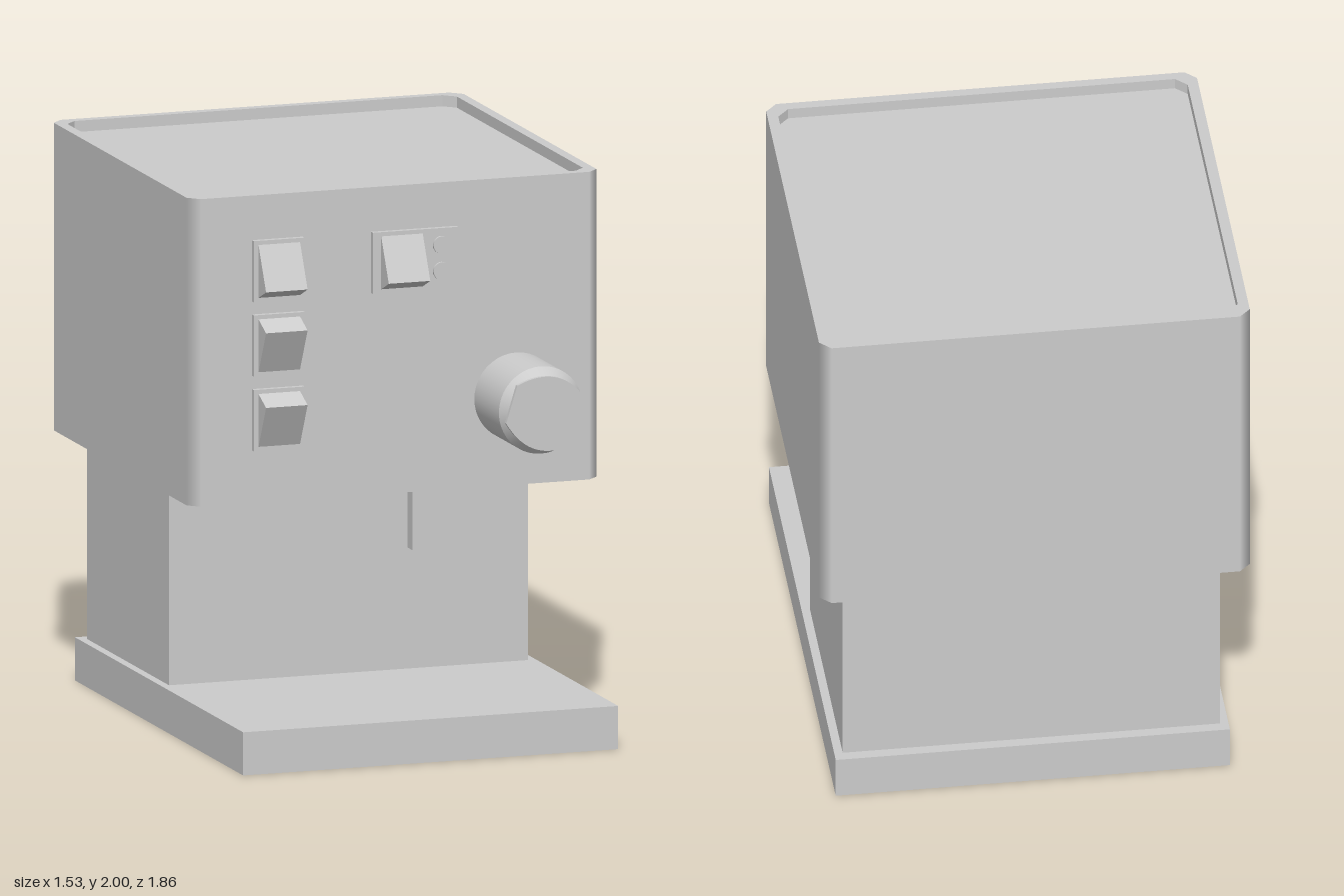
import * as THREE from 'three';

const material = new THREE.MeshStandardMaterial({ color: 0xcccccc });

function add(parent, name, geometry) {
  const mesh = new THREE.Mesh(geometry, material);
  mesh.name = name;
  parent.add(mesh);
  return mesh;
}

// Box given by its min and max on each axis
function box(parent, name, [x0, x1], [y0, y1], [z0, z1]) {
  const mesh = add(parent, name, new THREE.BoxGeometry(x1 - x0, y1 - y0, z1 - z0));
  mesh.position.set((x0 + x1) / 2, (y0 + y1) / 2, (z0 + z1) / 2);
  return mesh;
}

// Rectangle with cut corners, half sizes w and d
function cutRect(w, d, c) {
  return [[w, c - d], [w, d - c], [w - c, d], [c - w, d], [-w, d - c], [-w, c - d], [c - w, -d], [w - c, -d]]
    .map(([x, y]) => new THREE.Vector2(x, y));
}

const W = 0.765, D = 0.7425, FRONT = 0.555;

// Upright slab of the housing; its walls are flat and its corners shade smoothly
function housingSlab(parent, name, y0, y1, hole) {
  const shape = new THREE.Shape(cutRect(W, D, 0.04));
  if (hole) shape.holes.push(new THREE.Path(hole));
  const g = new THREE.ExtrudeGeometry(shape, { depth: y1 - y0, bevelEnabled: false });
  g.rotateX(-Math.PI / 2);
  const p = g.attributes.position, n = g.attributes.normal;
  for (let i = 0; i < p.count; i++) {
    if (Math.abs(n.getY(i)) > 0.5) continue;
    if (Math.abs(p.getX(i)) > W - 1e-4) n.setXYZ(i, Math.sign(p.getX(i)), 0, 0);
    else if (Math.abs(p.getZ(i)) > D - 1e-4) n.setXYZ(i, 0, 0, Math.sign(p.getZ(i)));
  }
  add(parent, name, g).position.set(0, y0, FRONT - D);
}

// Wedge-shaped rocker on a plate, pressed at its top or its bottom
function rocker(parent, x, y, pressedTop) {
  const s = pressedTop ? 1 : -1;
  const pts = [[0, 0.095], [0.08, -0.06], [0, -0.095]].map(([z, v]) => new THREE.Vector2(-z, v * s));
  const g = new THREE.ExtrudeGeometry(new THREE.Shape(pts), { depth: 0.155, bevelEnabled: false });
  g.translate(0, 0, -0.0775);
  g.rotateY(Math.PI / 2);
  add(parent, 'rocker', g).position.set(x, y, FRONT + 0.02);
}

export function createModel() {
  const model = new THREE.Group();
  model.name = 'coffeeMachine';

  // Base, column and the bracket below the housing
  box(model, 'base', [-0.7, 0.7], [0, 0.155], [-0.85, 0.93]);
  box(model, 'column', [-0.67, 0.67], [0.155, 0.895], [-0.81, 0.06]);
  box(model, 'bracket', [0.22, 0.535], [0.59, 0.81], [0.06, 0.115]);

  // Housing with a raised rim around the top
  housingSlab(model, 'housing', 0.895, 1.96);
  housingSlab(model, 'topRim', 1.96, 2, cutRect(W - 0.038, D - 0.036, 0.04));

  // Switches
  const plateZ = [FRONT, FRONT + 0.02];
  [[1.73, true], [1.463, false], [1.195, false]].forEach(([y, pressedTop]) => {
    const unit = new THREE.Group();
    unit.name = 'switch';
    box(unit, 'switchPlate', [-0.535, -0.345], [y - 0.11, y + 0.11], plateZ);
    rocker(unit, -0.44, y, pressedTop);
    model.add(unit);
  });

  // Main switch with two indicator lights
  const main = new THREE.Group();
  main.name = 'mainSwitch';
  box(main, 'mainSwitchPlate', [-0.09, 0.228], [1.62, 1.84], plateZ);
  rocker(main, 0.018, 1.73, true);
  for (const y of [1.78, 1.687]) {
    const light = add(main, 'indicatorLight', new THREE.CylinderGeometry(0.032, 0.032, 0.03, 24));
    light.rotation.x = Math.PI / 2;
    light.position.set(0.165, y, FRONT + 0.015);
  }
  model.add(main);

  // Knob: barrel, tapered shoulder, neck and front plate
  const knob = new THREE.Group();
  knob.name = 'knob';
  knob.position.set(0.452, 1.213, FRONT);
  for (const [name, r0, r1, z0, z1] of [
    ['knobBarrel', 0.157, 0.157, 0, 0.26],
    ['knobShoulder', 0.157, 0.13, 0.26, 0.298],
    ['knobNeck', 0.13, 0.13, 0.298, 0.32],
  ]) {
    const part = add(knob, name, new THREE.CylinderGeometry(r1, r0, z1 - z0, 40));
    part.rotation.x = Math.PI / 2;
    part.position.z = (z0 + z1) / 2;
  }
  const face = new THREE.Shape();
  face.moveTo(0.14, -0.07);
  face.lineTo(0.14, 0.07);
  face.quadraticCurveTo(0, 0.195, -0.14, 0.07);
  face.lineTo(-0.14, -0.07);
  face.quadraticCurveTo(0, -0.195, 0.14, -0.07);
  const plate = add(knob, 'knobFace', new THREE.ExtrudeGeometry(face, { depth: 0.015, bevelEnabled: false, curveSegments: 16 }));
  plate.position.z = 0.316;
  plate.rotation.z = -0.3;
  model.add(knob);

  return model;
}
